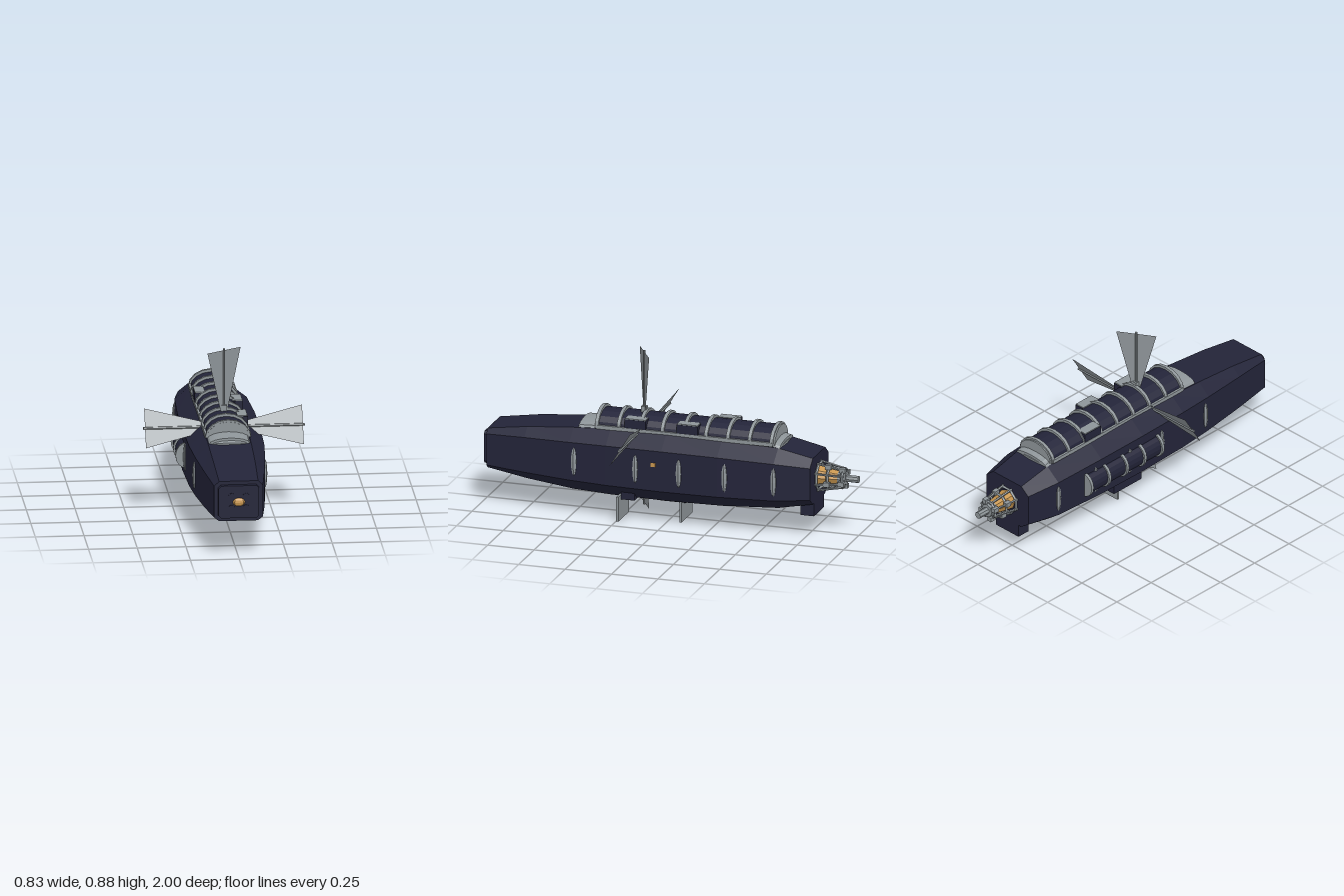
import * as THREE from 'three';

const mat = (name, color) => new THREE.MeshStandardMaterial({ name, color, flatShading: true });

export function createModel() {
  const hullMat = mat('dark navy hull', 0x232439);
  const metal = mat('grey metal', 0x8e9599);
  const bladeMat = mat('grey blade', 0x8e9599);
  bladeMat.side = THREE.DoubleSide;
  const glow = mat('amber', 0xc8964f);
  const model = new THREE.Group();
  model.name = 'ship';

  const add = (name, geometry, material, x = 0, y = 0, z = 0) => {
    const m = new THREE.Mesh(geometry, material);
    m.name = name;
    m.position.set(x, y, z);
    model.add(m);
    return m;
  };
  const box = (name, material, x0, x1, y0, y1, z0, z1) =>
    add(name, new THREE.BoxGeometry(x1 - x0, y1 - y0, z1 - z0), material, (x0 + x1) / 2, (y0 + y1) / 2, (z0 + z1) / 2);
  // round bar between two points
  const bar = (name, material, a, b, r, sides = 6) => {
    const p = new THREE.Vector3(...a), q = new THREE.Vector3(...b);
    const m = add(name, new THREE.CylinderGeometry(r, r, p.distanceTo(q), sides), material);
    m.position.copy(p).add(q).multiplyScalar(0.5);
    m.quaternion.setFromUnitVectors(new THREE.Vector3(0, 1, 0), q.sub(p).normalize());
    return m;
  };
  // closed loft: sections run back to front, points anticlockwise seen from the front
  const loft = (sections) => {
    const n = sections[0].length, pos = sections.flat(2), idx = [];
    for (let s = 0; s < sections.length - 1; s++)
      for (let i = 0; i < n; i++) {
        const a = s * n + i, b = s * n + (i + 1) % n;
        idx.push(a, b, b + n, a, b + n, a + n);
      }
    const f = (sections.length - 1) * n;
    for (let i = 1; i < n - 1; i++) idx.push(0, i + 1, i, f, f + i, f + i + 1);
    const g = new THREE.BufferGeometry();
    g.setAttribute('position', new THREE.Float32BufferAttribute(pos, 3));
    g.setIndex(idx);
    const flat = g.toNonIndexed();
    flat.computeVertexNormals();
    return flat;
  };

  // Hull stations: z, half width, top, bottom, shoulder top, shoulder bottom, half flat
  const stations = [
    [-0.785, 0.15, 0.425, 0.178, 0.385, 0.215, 0.1],
    [-0.6, 0.185, 0.463, 0.142, 0.4, 0.203, 0.105],
    [-0.3, 0.198, 0.477, 0.124, 0.408, 0.197, 0.11],
    [0, 0.2, 0.48, 0.12, 0.41, 0.195, 0.113],
    [0.3, 0.193, 0.475, 0.124, 0.408, 0.197, 0.112],
    [0.5, 0.179, 0.463, 0.133, 0.403, 0.2, 0.11],
    [0.75, 0.153, 0.44, 0.162, 0.395, 0.208, 0.106],
    [0.965, 0.125, 0.408, 0.197, 0.384, 0.217, 0.1],
  ];
  const octagon = (z, w, t, b, st, sb, c) =>
    [[w, sb, z], [w, st, z], [c, t, z], [-c, t, z], [-w, st, z], [-w, sb, z], [-c, b, z], [c, b, z]];
  add('hull', loft(stations.map((s) => octagon(...s))), hullMat);
  add('nosePlate', loft([octagon(0.96, 0.106, 0.39, 0.215, 0.375, 0.23, 0.091),
    octagon(0.985, 0.104, 0.388, 0.217, 0.374, 0.231, 0.09)]), hullMat);
  box('ventralSternBlock', hullMat, -0.08, 0.08, 0.108, 0.2, -0.785, -0.712);

  // Nose lamp and launch tubes
  add('noseLamp', new THREE.SphereGeometry(1, 8, 6), glow, 0, 0.302, 0.983).scale.set(0.033, 0.023, 0.017);
  for (const x of [-0.037, 0.037]) for (const y of [0.27, 0.332])
    add('launchTube', new THREE.CylinderGeometry(0.018, 0.018, 0.008, 10), hullMat, x, y, 0.985).rotation.x = Math.PI / 2;

  // Hull size at any z
  const at = (z, k) => {
    const i = Math.max(1, stations.findIndex((s) => s[0] >= z));
    const a = stations[i - 1], b = stations[i];
    return a[k] + (b[k] - a[k]) * (z - a[0]) / (b[0] - a[0]);
  };
  // Lens-shaped ribs on sides, top and bottom
  for (const z of [0.475, 0.14, -0.095, -0.34, -0.6]) {
    for (const s of [-1, 1])
      add('sideRib', new THREE.SphereGeometry(1, 6, 6), metal, s * at(z, 1), 0.303, z).scale.set(0.012, 0.076, 0.016);
    for (const [k, s] of [[2, 1], [3, -1]]) {
      const rib = add(s > 0 ? 'topRib' : 'bottomRib', new THREE.SphereGeometry(1, 6, 6), metal, 0, at(z, k), z);
      rib.scale.set(0.017, 0.09, 0.016);
      rib.rotation.z = Math.PI / 2;
    }
  }
  box('sideLight', glow, 0.195, 0.202, 0.325, 0.346, 0.03, 0.056);

  // Half-round housings with hoops, arching over +y
  const arch = (rx, ry, y, z, n = 8) => Array.from({ length: n + 1 }, (_, i) =>
    [rx * Math.cos(Math.PI * i / n), y + ry * Math.sin(Math.PI * i / n), z]);
  const archBlock = (name, m, rx, ry, y, z0, z1) =>
    add(name, loft([arch(rx, ry, y, z0), arch(rx, ry, y, z1)]), m);
  archBlock('dorsalHousing', hullMat, 0.108, 0.078, 0.473, -0.57, 0.37);
  for (let i = 0; i < 9; i++) {
    const z = 0.375 - i * 0.1175;
    archBlock('dorsalHoop', metal, 0.118, 0.092, 0.473, z - 0.009, z + 0.009);
  }
  archBlock('dorsalFrontCap', metal, 0.11, 0.082, 0.473, 0.37, 0.386);
  archBlock('dorsalRearCap', metal, 0.11, 0.082, 0.473, -0.582, -0.57);
  add('dorsalFairing', loft([arch(0.108, 0.036, 0.468, 0.38), arch(0.105, 0.03, 0.465, 0.475)]), metal);
  add('dorsalTailFairing', loft([arch(0.108, 0.026, 0.462, -0.61), arch(0.108, 0.036, 0.468, -0.57)]), metal);
  for (const s of [-1, 1]) box('dorsalRail', metal, s * 0.112 - 0.006, s * 0.112 + 0.006, 0.47, 0.49, -0.57, 0.375);

  // Side housing on the model's right
  const turn = (m) => { m.rotation.z = Math.PI / 2; m.position.set(-0.185, 0.303, 0); };
  turn(archBlock('sideHousing', hullMat, 0.06, 0.05, 0, -0.41, 0.105));
  for (let i = 0; i < 5; i++) {
    const z = 0.105 - i * 0.129;
    turn(archBlock('sideHoop', metal, 0.068, 0.06, 0, z - 0.008, z + 0.008));
  }

  // Equipment boxes on the dorsal housing
  for (const [s, z0, z1] of [[-1, -0.335, -0.22], [1, -0.17, -0.055], [1, 0.11, 0.225]]) {
    box('equipmentBox', hullMat, s * 0.088 - 0.028, s * 0.088 + 0.028, 0.485, 0.536, z0, z1);
    box('equipmentLid', metal, s * 0.088 - 0.026, s * 0.088 + 0.026, 0.536, 0.541, z0 + 0.002, z1 - 0.002);
  }

  // Four radiator blades around one hub, each with a spar
  const hub = [0, 0.465, 0.155];
  const blade = (dir, w) => {
    const pt = (r, k) => hub.map((h, i) => h + dir[i] * r + w[i] * k * r / 0.405);
    const quad = [pt(0.08, -1), pt(0.08, 1), pt(0.405, 1), pt(0.405, -1)];
    const g = new THREE.BufferGeometry();
    g.setAttribute('position', new THREE.Float32BufferAttribute(quad.flat(), 3));
    g.setIndex([0, 1, 2, 0, 2, 3]);
    g.computeVertexNormals();
    add('radiatorBlade', g, bladeMat);
    bar('bladeSpar', metal, pt(0.08, 0), pt(0.414, 0), 0.007);
  };
  blade([0, 1, 0], [-0.09, 0, 0.055]);
  blade([0, -1, 0], [0.09, 0, -0.055]);
  blade([1, 0, 0], [0, 0.09, -0.055]);
  blade([-1, 0, 0], [0, -0.09, 0.055]);
  box('bladeHub', metal, -0.013, 0.013, 0.54, 0.58, 0.14, 0.17);

  // Ventral plates and their mounts
  box('ventralPlate', metal, 0.015, 0.19, 0.008, 0.14, 0.232, 0.244);
  box('ventralPlate', metal, -0.09, 0.086, 0.003, 0.125, -0.074, -0.062);
  box('ventralMount', hullMat, 0.02, 0.147, 0.115, 0.16, 0.16, 0.232);
  box('ventralMount', hullMat, -0.14, -0.085, 0.097, 0.16, -0.15, 0.05);
  add('ventralBulge', loft([octagon(-0.2, 0.05, 0.15, 0.118, 0.14, 0.125, 0.035),
    octagon(-0.08, 0.085, 0.15, 0.096, 0.14, 0.112, 0.045), octagon(0.05, 0.085, 0.15, 0.096, 0.14, 0.112, 0.045),
    octagon(0.2, 0.05, 0.15, 0.116, 0.14, 0.125, 0.035)]), hullMat);

  // Stern drive: amber core inside a tapering cage, ending in a nozzle
  const core = add('driveCore', new THREE.CylinderGeometry(0.055, 0.034, 0.13, 8), glow, 0, 0.303, -0.84);
  core.rotation.x = Math.PI / 2;
  for (const [z, r] of [[-0.79, 0.072], [-0.845, 0.058], [-0.92, 0.05]]) {
    const ring = add('cageRing', new THREE.TorusGeometry(r, 0.008, 4, 8), metal, 0, 0.303, z);
    ring.rotation.z = Math.PI / 8;
  }
  for (let i = 0; i < 8; i++) {
    const a = (i + 0.5) * Math.PI / 4, c = Math.cos(a), s = Math.sin(a);
    bar('cageStrut', metal, [c * 0.078, 0.303 + s * 0.078, -0.78], [c * 0.048, 0.303 + s * 0.048, -0.93], 0.006, 5);
    if (i % 2) for (const [z, r] of [[-0.845, 0.064], [-0.92, 0.05]])
      box('cageBlock', metal, c * r - 0.012, c * r + 0.012, 0.303 + s * r - 0.012, 0.303 + s * r + 0.012, z - 0.016, z + 0.016);
  }
  bar('driveHead', metal, [0, 0.303, -0.89], [0, 0.303, -0.935], 0.036, 8);
  bar('nozzle', metal, [0, 0.303, -0.92], [0, 0.303, -1], 0.019, 8);

  return model;
}
